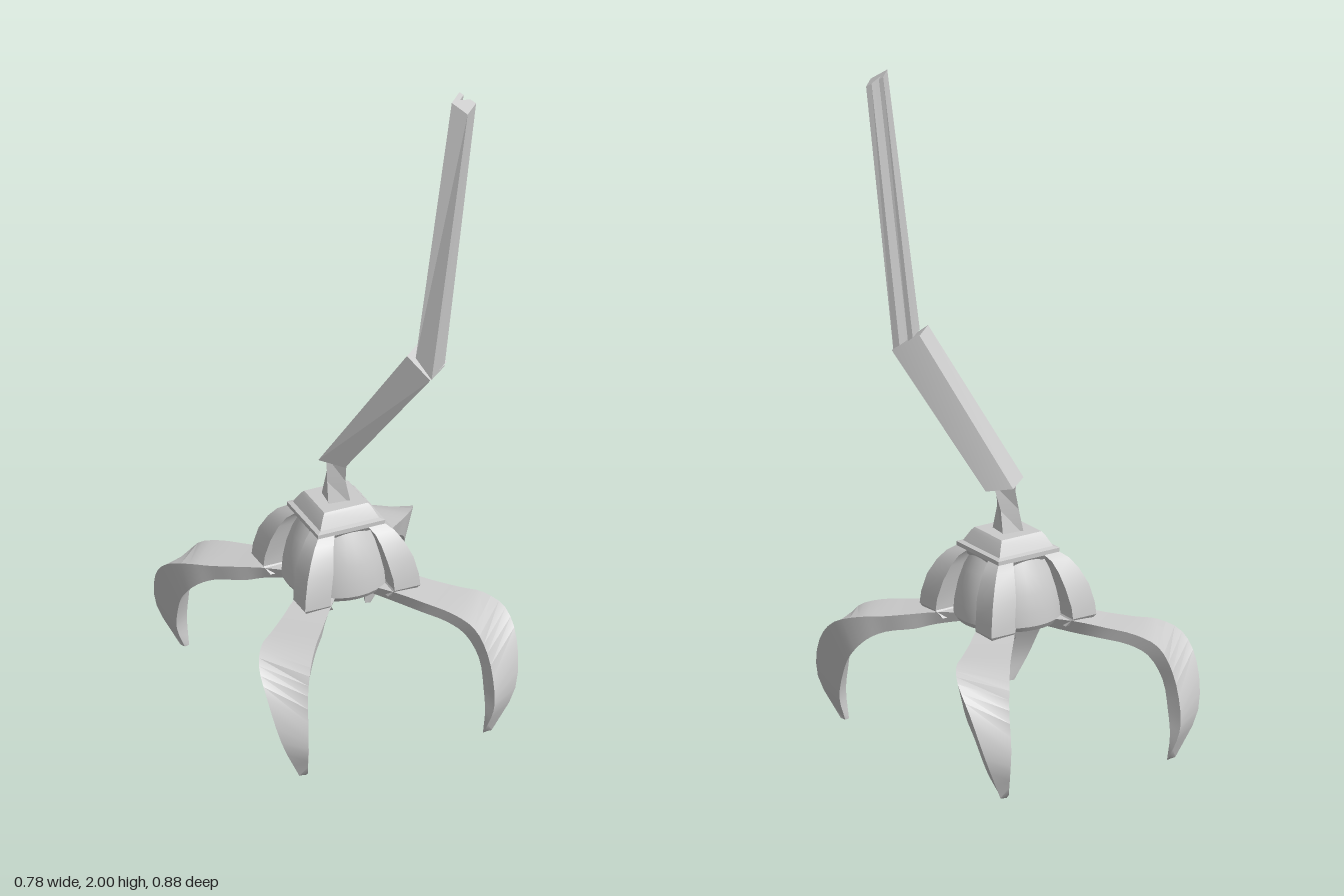
import * as THREE from 'three';
import { toCreasedNormals } from 'three/addons/utils/BufferGeometryUtils.js';

const V = (x, y, z) => new THREE.Vector3(x, y, z);
const material = new THREE.MeshStandardMaterial({ color: 0xcccccc });

// Solid through matching rings of points, capped at both ends, always facing outward
function loft(rings, crease = 0.5) {
  const n = rings[0].length, pts = rings.flat();
  const tris = [];
  for (let r = 0; r < rings.length - 1; r++) {
    for (let i = 0; i < n; i++) {
      const a = r * n + i, b = r * n + (i + 1) % n;
      tris.push([a, b, b + n], [a, b + n, a + n]);
    }
  }
  const last = (rings.length - 1) * n;
  for (let i = 1; i < n - 1; i++) {
    tris.push([0, i + 1, i], [last, last + i, last + i + 1]);
  }
  let volume = 0;
  for (const [a, b, c] of tris) volume += pts[a].dot(pts[b].clone().cross(pts[c]));
  if (volume < 0) tris.forEach((t) => t.reverse());
  const geo = new THREE.BufferGeometry().setFromPoints(pts);
  geo.setIndex(tris.flat());
  return toCreasedNormals(geo, crease);
}

function add(parent, name, geo) {
  const mesh = new THREE.Mesh(geo, material);
  mesh.name = name;
  parent.add(mesh);
  return mesh;
}

const square = (h, y, turn = 0, cx = 0, cz = 0) => [0, 1, 2, 3].map((i) => {
  const a = turn + Math.PI / 4 + i * Math.PI / 2;
  return V(cx + h * Math.SQRT2 * Math.cos(a), y, cz + h * Math.SQRT2 * Math.sin(a));
});

// Claw leg: four long edges, each a curve from the hub to the tip
const legEdges = [
  // outer edge, front side
  [[.03, .39, .09], [.10, .39, .18], [.16, .38, .255], [.215, .368, .325], [.255, .34, .38],
    [.28, .27, .415], [.29, .16, .44], [.29, .09, .435], [.275, .01, .405]],
  // outer edge, rear side
  [[.09, .39, .03], [.18, .39, .10], [.235, .38, .15], [.30, .37, .205], [.345, .366, .245],
    [.385, .34, .31], [.39, .27, .375], [.365, .14, .42], [.30, .005, .40]],
  // inner edge, rear side
  [[.08, .37, .03], [.17, .35, .11], [.22, .335, .145], [.28, .32, .205], [.32, .295, .24],
    [.345, .24, .285], [.34, .17, .33], [.325, .08, .37], [.29, 0, .392]],
  // inner edge, front side
  [[.03, .37, .08], [.11, .35, .17], [.155, .345, .24], [.205, .335, .305], [.24, .31, .35],
    [.27, .24, .38], [.275, .15, .40], [.275, .08, .41], [.275, 0, .395]],
].map((e) => new THREE.CatmullRomCurve3(e.map((p) => V(...p))));

function legRings(sx, sz) {
  const rings = [], steps = 24;
  for (let i = 0; i <= steps; i++) {
    rings.push(legEdges.map((c) => {
      const p = c.getPoint(i / steps);
      return V(p.x * sx, p.y, p.z * sz);
    }));
  }
  return rings;
}

// Upper arm section: a square bar with a V groove in one side
function grooved(a, b, c, d) {
  const g1 = c.clone().lerp(d, 0.32), g2 = c.clone().lerp(d, 0.75);
  const floor = g1.clone().lerp(g2, 0.5).lerp(a, 0.45);
  return [a, b, c, g1, floor, g2, d];
}

export function createModel() {
  const model = new THREE.Group();
  model.name = 'grabberClaw';

  // Domed hub, hollowed slightly underneath
  const profile = [[0, .41], [.08, .39], [.145, .375], [.155, .39], [.152, .43], [.142, .48],
    [.125, .53], [.10, .575], [0, .58]].map((p) => new THREE.Vector2(...p));
  add(model, 'hub', toCreasedNormals(new THREE.LatheGeometry(profile, 32), 0.6));

  // Four shoulder ribs and four legs on the diagonals
  const ribProfile = [[.10, .58], [.125, .56], [.145, .53], [.165, .485], [.177, .43], [.18, .395], [.165, .372]];
  for (const sx of [1, -1]) {
    for (const sz of [1, -1]) {
      const side = (sz > 0 ? 'front' : 'back') + (sx > 0 ? 'Left' : 'Right');
      const ribs = ribProfile.map(([h, y], i) => {
        const w = 0.05 + 0.03 * Math.min(1, i / 3);
        return square(w / 2, y, 0, sx * (h - w / 2), sz * (h - w / 2));
      });
      add(model, side + 'Shoulder', loft(ribs, 0.45));
      add(model, side + 'Leg', loft(legRings(sx, sz), 0.6));
    }
  }

  // Bevelled square cap
  const cap = [[.095, .56], [.105, .575], [.105, .588], [.092, .592], [.075, .625], [.068, .634]];
  add(model, 'cap', loft(cap.map(([h, y]) => square(h, y)), 0.2));

  // Twisted tapering neck
  add(model, 'neck', loft([square(.034, .62, 0.1), square(.026, .70, 0.4), square(.03, .78, 0.7, .008, .005)], 0.2));

  // Leaning lower arm
  add(model, 'lowerArm', loft([
    [V(-.06, .775, .01), V(0, .762, .06), V(.08, .765, -.005), V(.02, .775, -.055)],
    [V(.11, 1.2, .24), V(.155, 1.14, .30), V(.235, 1.15, .24), V(.18, 1.2, .18)],
  ], 0.2));

  // Long grooved upper arm
  add(model, 'upperArm', loft([
    grooved(V(.135, 1.19, .245), V(.16, 1.14, .298), V(.225, 1.14, .245), V(.19, 1.19, .20)),
    grooved(V(.25, 2, .24), V(.285, 1.97, .272), V(.333, 1.97, .225), V(.295, 2, .195)),
  ], 0.2));

  return model;
}
